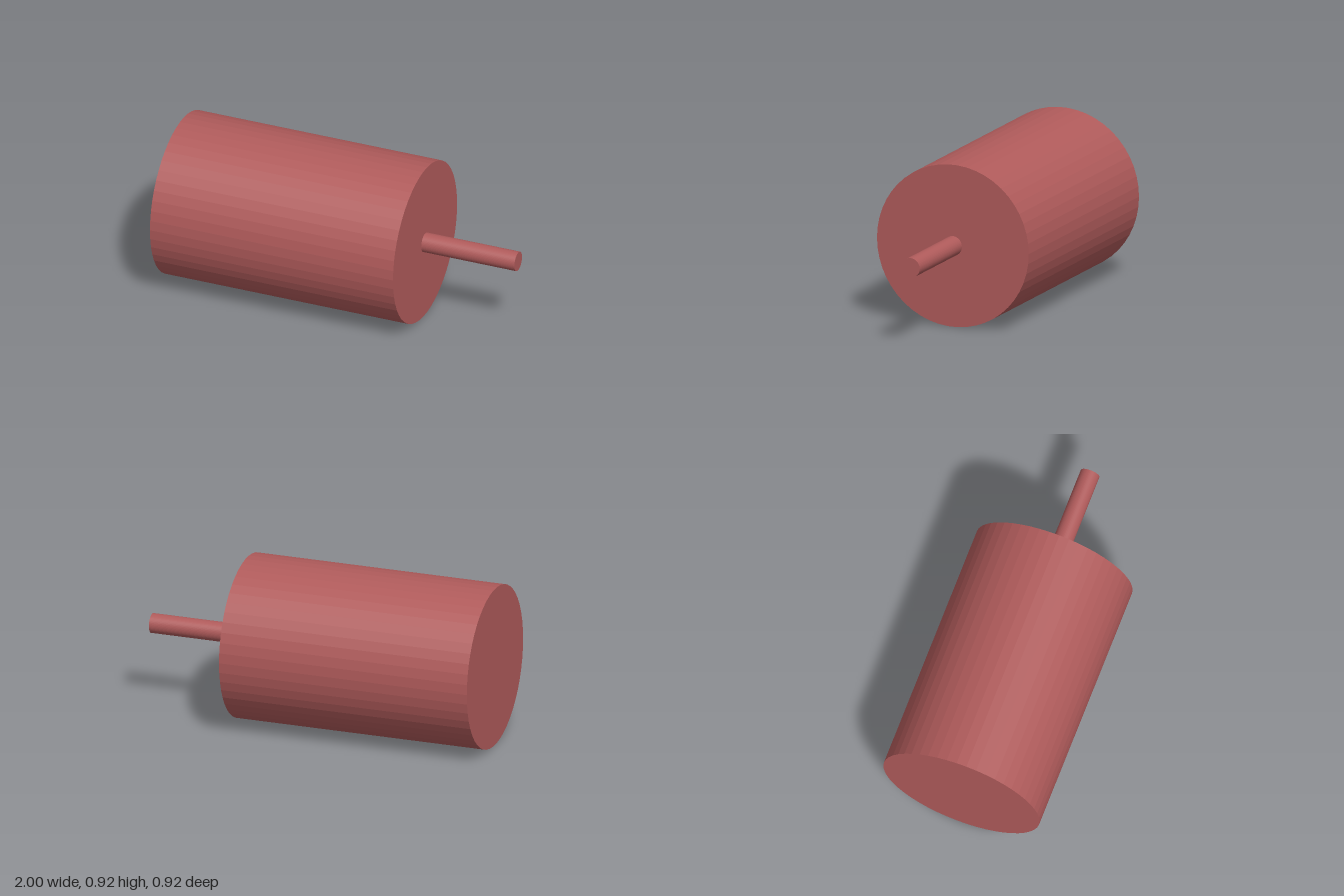
import * as THREE from 'three';

const AXIS_Y = 0.459;

export function createModel() {
  const model = new THREE.Group();
  model.name = 'motor';

  const paint = new THREE.MeshStandardMaterial({ color: 0xb05b5b, flatShading: true });
  paint.name = 'dusty red';

  // Cylinder lying along x, from x0 to x1
  const rod = (name, radius, x0, x1, sides) => {
    const geometry = new THREE.CylinderGeometry(radius, radius, x1 - x0, sides);
    geometry.rotateZ(-Math.PI / 2);
    const mesh = new THREE.Mesh(geometry, paint);
    mesh.name = name;
    mesh.position.set((x0 + x1) / 2, AXIS_Y, 0);
    model.add(mesh);
  };

  rod('body', 0.459, -1, 0.446, 50);
  rod('shaft', 0.055, 0.446, 1, 50);

  return model;
}
